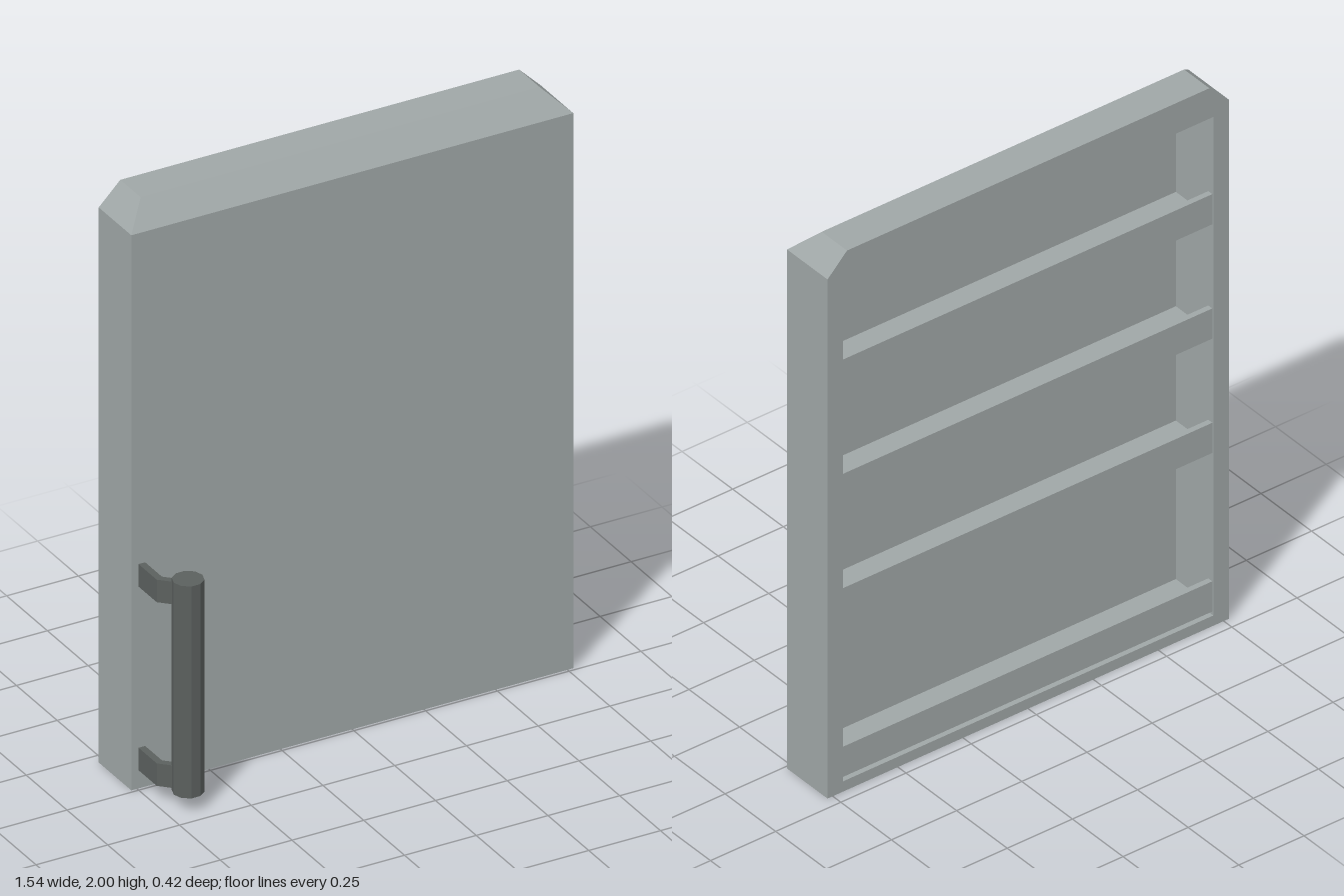
import * as THREE from 'three';

const BACK = -0.21, FRONT = -0.01, BEVEL = 0.075;
const HALF = 0.77, TOP = 2, SHOULDER = TOP - BEVEL;
const IN_X = 0.71, IN_BOTTOM = 0.038, IN_TOP = 1.887, SKIN = 0.015;

export function createModel() {
  const grey = new THREE.MeshStandardMaterial({ color: 0x9fa6a6 });
  grey.name = 'door grey';
  const dark = new THREE.MeshStandardMaterial({ color: 0x5b605e });
  dark.name = 'handle grey';
  const model = new THREE.Group();
  model.name = 'door';

  const add = (parent, name, geometry, material, x = 0, y = 0, z = 0) => {
    const mesh = new THREE.Mesh(geometry, material);
    mesh.name = name;
    mesh.position.set(x, y, z);
    parent.add(mesh);
    return mesh;
  };
  const points = list => list.map(([x, y]) => new THREE.Vector2(x, y));

  // Hollow door body with clipped upper corners
  const outline = new THREE.Shape(points([
    [-HALF, 0], [HALF, 0], [HALF, SHOULDER], [HALF - BEVEL, TOP],
    [BEVEL - HALF, TOP], [-HALF, SHOULDER],
  ]));
  outline.holes.push(new THREE.Path(points([
    [-IN_X, IN_BOTTOM], [-IN_X, IN_TOP], [IN_X, IN_TOP], [IN_X, IN_BOTTOM],
  ])));
  const depth = FRONT - BACK;
  const body = new THREE.ExtrudeGeometry(outline, { depth, steps: 2, bevelEnabled: false });

  // Slope the front top edge: the middle layer starts it, the front layer drops to the shoulder
  const p = body.attributes.position;
  for (let i = 0; i < p.count; i++) {
    const z = p.getZ(i);
    if (z > depth * 0.25 && z < depth * 0.75) p.setZ(i, depth - BEVEL);
    if (z > depth * 0.75 && p.getY(i) > SHOULDER + 0.01) {
      p.setX(i, Math.sign(p.getX(i)) * HALF);
      p.setY(i, SHOULDER);
    }
  }
  body.computeVertexNormals();
  add(model, 'doorFrame', body, grey, 0, 0, BACK);

  // Thin front skin closing the recess
  add(model, 'frontPanel', new THREE.BoxGeometry(IN_X * 2, IN_TOP - IN_BOTTOM, SKIN), grey,
    0, (IN_TOP + IN_BOTTOM) / 2, FRONT - SKIN / 2);

  // Inner shelves, each a floor with an upright lip at the back
  const floorDepth = FRONT - SKIN - BACK - 0.005, lipHeight = 0.112, thick = 0.02;
  for (const y of [0.05, 0.638, 1.062, 1.486]) {
    const shelf = new THREE.Group();
    shelf.name = 'shelf';
    shelf.position.set(0, y, BACK + 0.005);
    add(shelf, 'shelfFloor', new THREE.BoxGeometry(IN_X * 2, thick, floorDepth - thick), grey,
      0, thick / 2, (floorDepth + thick) / 2);
    add(shelf, 'shelfLip', new THREE.BoxGeometry(IN_X * 2, lipHeight, thick), grey,
      0, lipHeight / 2, thick / 2);
    model.add(shelf);
  }

  // Ten-sided upright handle
  const handle = new THREE.Group();
  handle.name = 'handle';
  const bar = new THREE.CylinderGeometry(0.05, 0.05, 0.735, 10).toNonIndexed();
  bar.rotateY(Math.PI / 2);
  bar.computeVertexNormals();
  add(handle, 'handleBar', bar, dark, -0.67, 0.4225, 0.162);

  // Bent brackets, drawn in plan as (x, -z) and extruded upward
  const plan = new THREE.Shape(points([
    [-0.745, 0.012], [-0.722, 0.012], [-0.722, -0.093],
    [-0.685, -0.13], [-0.701, -0.146], [-0.745, -0.102],
  ].reverse()));
  const bracket = new THREE.ExtrudeGeometry(plan, { depth: 0.078, bevelEnabled: false });
  bracket.rotateX(-Math.PI / 2);
  for (const y of [0.063, 0.7]) add(handle, 'handleBracket', bracket, dark, 0, y, 0);
  model.add(handle);

  return model;
}
